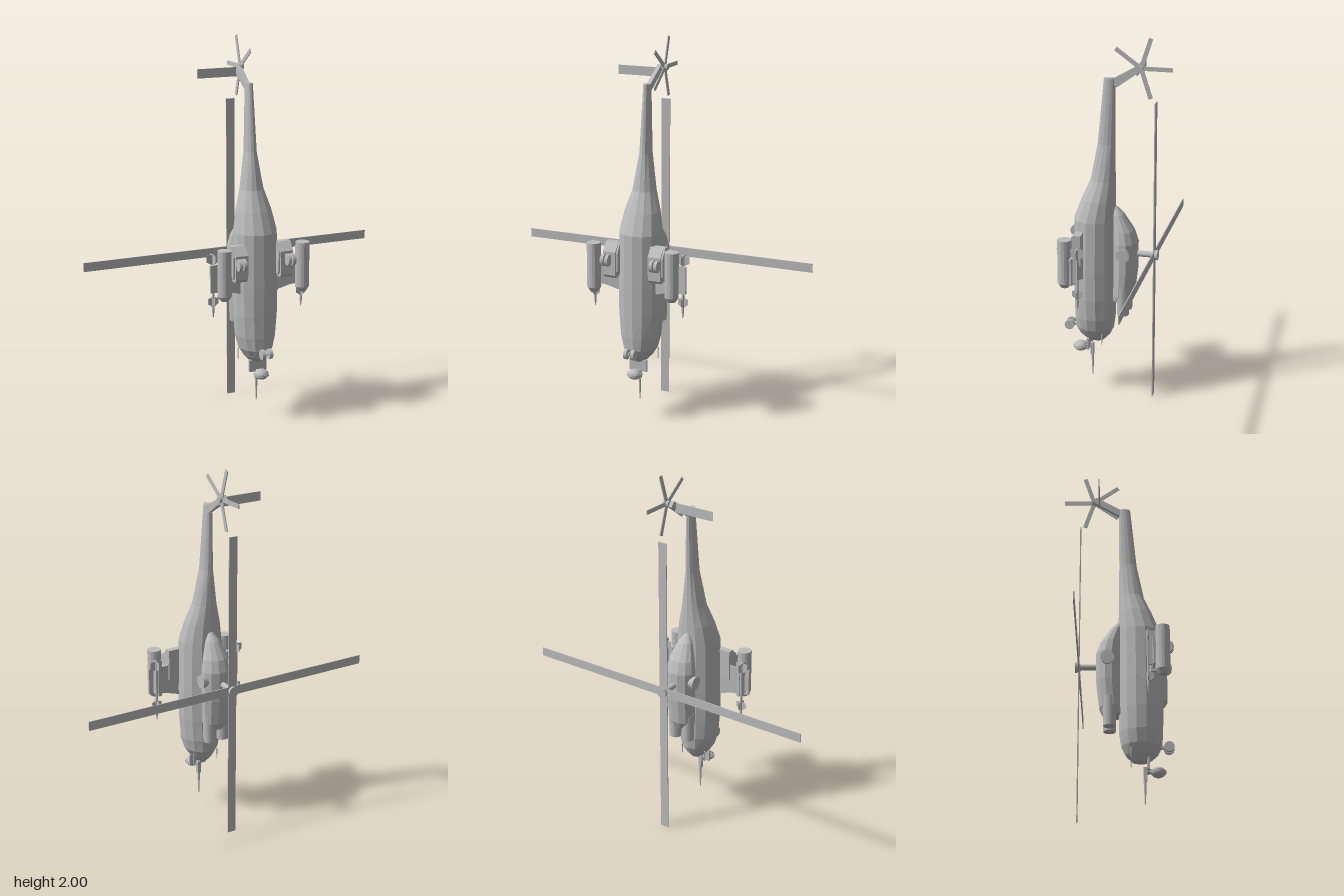
import * as THREE from 'three';

const grey = new THREE.MeshStandardMaterial({ color: 0xbcbcbc });
grey.name = 'matt grey';

// Facets a geometry so that every face is flat
function flat(geo) {
  const g = geo.index ? geo.toNonIndexed() : geo;
  g.computeVertexNormals();
  return g;
}

// Closed hull through elliptical rings [y, zCentre, radiusX, radiusZ]
function loft(rings, n) {
  const pos = [], idx = [];
  for (const [y, z, rx, rz] of rings)
    for (let j = 0; j < n; j++) {
      const a = ((j + 0.5) / n) * Math.PI * 2;
      pos.push(rx * Math.cos(a), y, z + rz * Math.sin(a));
    }
  const last = rings.length - 1, base = rings.length * n;
  pos.push(0, rings[0][0], rings[0][1], 0, rings[last][0], rings[last][1]);
  for (let j = 0; j < n; j++) {
    const k = (j + 1) % n;
    for (let r = 0; r < last; r++) {
      const a = r * n + j, b = a + n, d = r * n + k, c = d + n;
      idx.push(a, b, d, b, c, d);
    }
    idx.push(base, j, k, base + 1, last * n + k, last * n + j);
  }
  const g = new THREE.BufferGeometry();
  g.setAttribute('position', new THREE.Float32BufferAttribute(pos, 3));
  g.setIndex(idx);
  return flat(g);
}

const box = (w, h, d) => new THREE.BoxGeometry(w, h, d);

// Cylinder along the x, y or z axis; r1 is the radius at the positive end
function rod(axis, r1, r0, len, n = 16) {
  const g = new THREE.CylinderGeometry(r1, r0, len, n);
  if (axis === 'x') g.rotateZ(-Math.PI / 2);
  if (axis === 'z') g.rotateX(Math.PI / 2);
  return g;
}

// Plate from 2D points, centred on its thickness
function plate(points, depth) {
  const shape = new THREE.Shape(points.map(p => new THREE.Vector2(...p)));
  return new THREE.ExtrudeGeometry(shape, { depth, bevelEnabled: false }).translate(0, 0, -depth / 2);
}

// Same, with points given as (z, y) and thickness along x
const sidePlate = (points, depth) => plate(points, depth).rotateY(-Math.PI / 2);

export function createModel() {
  const model = new THREE.Group();
  model.name = 'helicopter';
  const add = (name, geo, x = 0, y = 0, z = 0, parent = model) => {
    const m = new THREE.Mesh(geo, grey);
    m.name = name;
    m.position.set(x, y, z);
    parent.add(m);
    return m;
  };

  // Fuselage, nose down, running into the tail boom
  add('fuselage', loft([
    [0.31, 0.12, 0.03, 0.045], [0.345, 0.124, 0.062, 0.082], [0.39, 0.124, 0.09, 0.104],
    [0.46, 0.122, 0.108, 0.112], [0.58, 0.122, 0.119, 0.115], [0.74, 0.122, 0.121, 0.116],
    [1.02, 0.12, 0.116, 0.113], [1.13, 0.099, 0.095, 0.091], [1.235, 0.076, 0.063, 0.067],
    [1.43, 0.058, 0.031, 0.047], [1.78, 0.04, 0.018, 0.031]
  ], 14));

  // Engine fairing on the roof
  add('engineFairing', loft([
    [0.56, -0.02, 0.055, 0.055], [0.6, -0.034, 0.075, 0.06], [0.74, -0.045, 0.084, 0.066],
    [0.9, -0.045, 0.084, 0.068], [0.965, -0.035, 0.072, 0.057], [1.05, -0.005, 0.04, 0.032],
    [1.09, 0.012, 0.012, 0.01]
  ], 12));

  // Main rotor
  const rotor = new THREE.Group();
  rotor.name = 'mainRotor';
  rotor.position.set(0, 0.833, -0.2);
  model.add(rotor);
  add('rotorMast', rod('z', 0.016, 0.016, 0.12), 0, 0, 0.055, rotor);
  add('rotorHub', rod('z', 0.024, 0.028, 0.028), 0, 0, -0.006, rotor);
  for (let i = 0; i < 2; i++)
    add('rotorBlades', box(1.664, 0.048, 0.005), 0, 0, 0, rotor).rotation.z = i * Math.PI / 2;

  // Tail fin, stabiliser and five-bladed tail rotor
  add('tailFin', sidePlate([[0.03, 1.775], [0.01, 1.785], [-0.115, 1.858], [-0.137, 1.833], [0.015, 1.74]], 0.022));
  add('stabiliser', box(0.22, 0.048, 0.006), -0.117, 1.82, -0.098);
  const tail = new THREE.Group();
  tail.name = 'tailRotor';
  tail.position.set(0.025, 1.843, -0.127);
  model.add(tail);
  add('tailHub', rod('x', 0.016, 0.016, 0.034), 0, 0, 0, tail);
  for (let i = 0; i < 5; i++) {
    const blade = add('tailBlade', box(0.005, 0.022, 0.163).translate(0, 0, -0.0815), 0, 0, 0, tail);
    blade.rotation.x = i * Math.PI * 2 / 5;
  }

  // Nose: sensor turret, mount, probe
  add('sensorMount', box(0.1, 0.065, 0.012), 0, 0.292, 0.157);
  add('sensorArm', box(0.03, 0.016, 0.06), 0, 0.262, 0.175);
  add('sensorTurret', flat(new THREE.SphereGeometry(0.038, 14, 8).scale(1, 0.75, 1)), 0, 0.257, 0.207);
  add('sensorRing', rod('y', 0.041, 0.041, 0.012), 0, 0.257, 0.207);
  add('probeBase', box(0.02, 0.07, 0.018), 0, 0.247, 0.142);
  add('probe', rod('y', 0.008, 0.003, 0.13, 8), 0, 0.155, 0.14);

  for (const s of [1, -1]) {
    // Engine intakes and exhausts
    add('engineIntake', rod('y', 0.036, 0.032, 0.16), s * 0.042, 0.57, -0.04);
    add('engineExhaust', rod('x', s > 0 ? 0.036 : 0.026, s > 0 ? 0.026 : 0.036, 0.06), s * 0.071, 0.85, -0.05);

    // Nose sensors and wheels
    add('noseVane', rod('y', 0.004, 0.002, 0.06, 6), s * 0.075, 0.34, 0.07);
    add('noseWheel', rod('x', 0.027, 0.027, 0.018), s * 0.02, 0.387, 0.264);
    add('noseGearLeg', box(0.008, 0.012, 0.07), s * 0.008, 0.387, 0.235);

    // Wing with a slight droop
    const wing = add('stubWing', plate([
      [0, 0.92], [s * 0.11, 0.92], [s * 0.18, 0.882], [s * 0.282, 0.88],
      [s * 0.282, 0.735], [s * 0.18, 0.725], [s * 0.11, 0.705], [0, 0.705]
    ], 0.011), 0, 0, 0.156);
    wing.rotation.y = -s * 0.11;

    // Wheel sponson and twin main wheels
    add('wheelSponson', sidePlate([
      [0.165, 0.965], [0.2, 0.965], [0.238, 0.925], [0.242, 0.8], [0.228, 0.785], [0.185, 0.785], [0.165, 0.81]
    ], 0.066), s * 0.127);
    add('sponsonCowl', sidePlate([
      [0.16, 0.968], [0.195, 0.968], [0.23, 0.92], [0.23, 0.82], [0.215, 0.8], [0.16, 0.8]
    ], 0.083), s * 0.127);
    for (const x of [0.125, 0.15])
      add('mainWheel', rod('x', 0.031, 0.031, 0.017), s * x, 0.886, 0.26);

    // Rocket pod under the wing
    add('podPylon', box(0.016, 0.17, 0.04), s * 0.22, 0.8, 0.19);
    add('rocketPod', loft([
      [0.7, 0, 0.022, 0.022], [0.725, 0, 0.037, 0.037], [0.965, 0, 0.037, 0.037]
    ], 16), s * 0.22, 0, 0.232);

    // Missile above the wing tip
    const missile = new THREE.Group();
    missile.name = 'wingtipMissile';
    missile.position.set(s * 0.252, 0, 0.156);
    model.add(missile);
    add('missileBody', loft([
      [0.59, 0, 0.002, 0.002], [0.63, 0, 0.007, 0.007], [0.93, 0, 0.007, 0.007]
    ], 10), 0, 0, 0, missile);
    add('missileRail', box(0.01, 0.14, 0.026), 0, 0.81, 0.015, missile);
    for (let i = 0; i < 4; i++) {
      const a = i * Math.PI / 2;
      add('rearFin', plate([[0, 0.93], [0.035, 0.925], [0.035, 0.89], [0, 0.87]], 0.003), 0, 0, 0, missile).rotation.y = a;
      add('frontFin', plate([[0, 0.7], [0.028, 0.695], [0.028, 0.665], [0, 0.645]], 0.003), 0, 0, 0, missile).rotation.y = a;
    }
  }
  return model;
}
